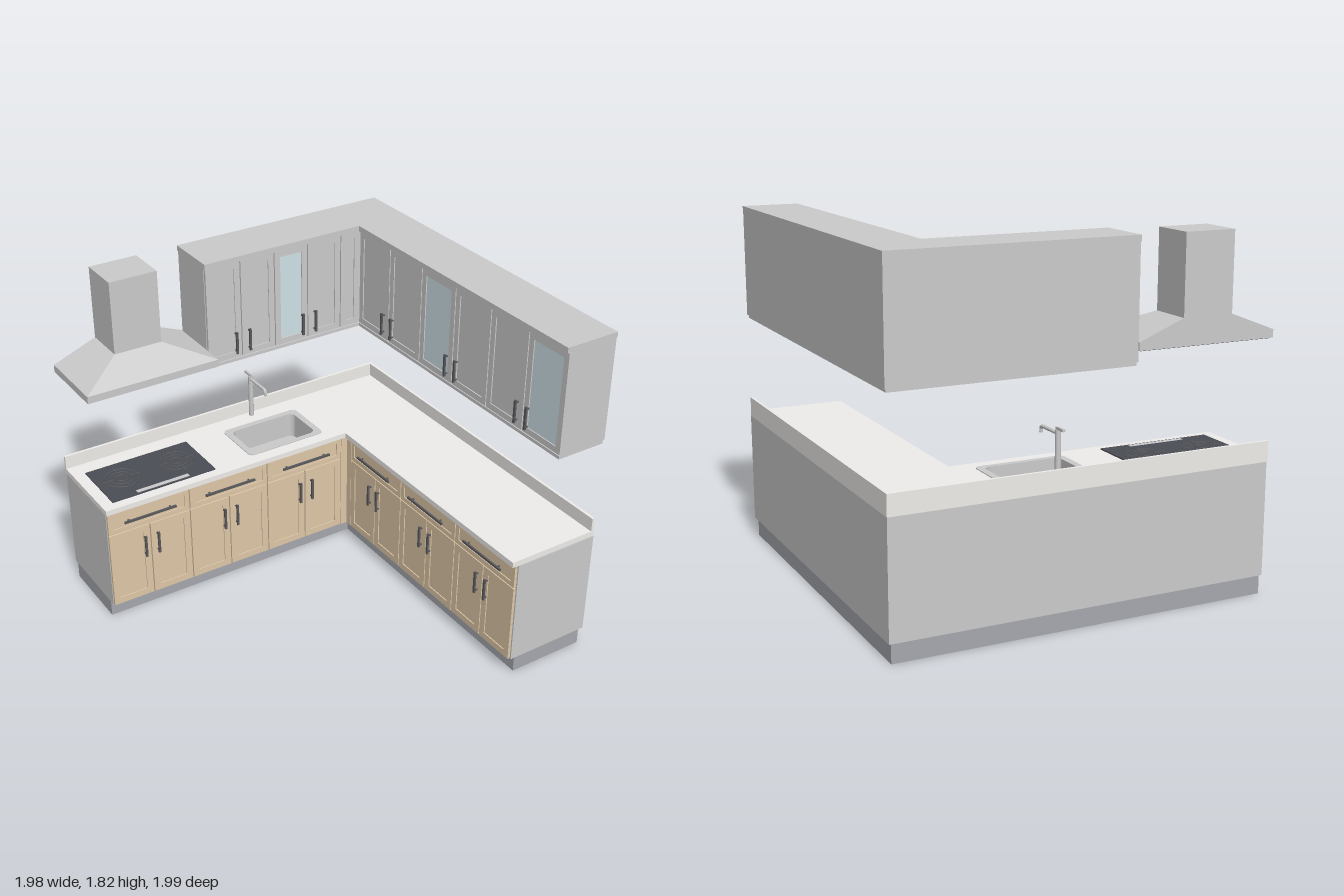
import * as THREE from 'three';

const mat = (color) => new THREE.MeshStandardMaterial({ color, side: THREE.DoubleSide });

export function createModel() {
  const root = new THREE.Group();
  root.name = 'cornerKitchen';
  const M = {
    grey: mat(0xcccccc), wood: mat(0xdfc8a8), stone: mat(0xf0eeeb), kick: mat(0xa6a8ae),
    dark: mat(0x5a5a5e), hob: mat(0x4c4e56), glass: mat(0xcfe2e8),
  };

  const add = (parent, name, geo, m) => {
    const mesh = new THREE.Mesh(geo, m);
    mesh.name = name;
    parent.add(mesh);
    return mesh;
  };
  // Box given by its min and max on each axis
  const box = (parent, name, m, x0, x1, y0, y1, z0, z1) => {
    const b = add(parent, name, new THREE.BoxGeometry(x1 - x0, y1 - y0, z1 - z0), m);
    b.position.set((x0 + x1) / 2, (y0 + y1) / 2, (z0 + z1) / 2);
    return b;
  };
  const group = (name) => {
    const g = new THREE.Group();
    g.name = name;
    root.add(g);
    return g;
  };
  // Rounded rectangle on the floor plan (shape y is -z)
  const rounded = (x0, x1, z0, z1, r, C = THREE.Shape) => {
    const s = new C(), a = -z1, b = -z0;
    s.absarc(x1 - r, a + r, r, -Math.PI / 2, 0);
    s.absarc(x1 - r, b - r, r, 0, Math.PI / 2);
    s.absarc(x0 + r, b - r, r, Math.PI / 2, Math.PI);
    s.absarc(x0 + r, a + r, r, Math.PI, Math.PI * 1.5);
    s.closePath();
    return s;
  };
  // Floor-plan shape raised from y0 to y1
  const slab = (parent, name, m, shape, y0, y1) => {
    const geo = new THREE.ExtrudeGeometry(shape, { depth: y1 - y0, bevelEnabled: false, curveSegments: 6 });
    geo.rotateX(-Math.PI / 2).translate(0, y0, 0);
    return add(parent, name, geo, m);
  };
  // L-shaped plan: back run plus side run
  const ell = (x0, x1, z0, z1, inX, inZ) => new THREE.Shape(
    [[x0, z0], [x0, inZ], [inX, inZ], [inX, z1], [x1, z1], [x1, z0]].map(([x, z]) => new THREE.Vector2(x, -z)));
  const sinkHole = () => rounded(-0.07, 0.34, -0.83, -0.575, 0.04, THREE.Path);

  // Base cabinets, plinth and worktop
  const base = group('baseCabinets');
  slab(base, 'plinth', M.kick, ell(-0.985, 0.97, -0.97, 0.98, 0.54, -0.55), 0, 0.1);
  const carcass = ell(-0.99, 0.985, -0.985, 0.995, 0.505, -0.505);
  carcass.holes.push(sinkHole());
  slab(base, 'baseCarcass', M.grey, carcass, 0.1, 0.68);
  const top = ell(-0.995, 0.985, -0.985, 0.99, 0.47, -0.48);
  top.holes.push(sinkHole());
  slab(base, 'worktop', M.stone, top, 0.68, 0.71);
  slab(base, 'backsplash', M.stone, ell(-0.995, 0.985, -0.985, 0.99, 0.97, -0.97), 0.71, 0.785);

  // Wall cabinets with cornice
  const wall = group('wallCabinets');
  slab(wall, 'wallCarcass', M.grey, ell(-0.25, 0.985, -0.985, 0.99, 0.715, -0.715), 1.24, 1.79);
  slab(wall, 'lightRail', M.grey, ell(-0.25, 0.975, -0.972, 0.99, 0.7, -0.7), 1.222, 1.24);
  slab(wall, 'cornice', M.grey, ell(-0.255, 0.985, -0.985, 0.995, 0.685, -0.69), 1.79, 1.82);

  // Bar handle on two posts, centred at (x, y) on the face plane z
  const handle = (parent, x, y, z, length, horizontal) => {
    const h = new THREE.Group();
    h.name = 'handle';
    const half = length / 2;
    box(h, 'handleBar', M.dark, -0.006, 0.006, -half, half, 0.014, 0.024);
    for (const s of [-1, 1]) {
      const p = s * half * 0.8;
      box(h, 'handlePost', M.dark, -0.004, 0.004, p - 0.004, p + 0.004, 0, 0.015);
    }
    h.position.set(x, y, z);
    if (horizontal) h.rotation.z = Math.PI / 2;
    parent.add(h);
  };
  // Framed front with a recessed panel
  const front = (parent, name, m, x0, x1, y0, y1, z, rim, panel = m) => {
    const g = 0.003, t = 0.015;
    const rect = (C, d) => {
      const s = new C();
      s.moveTo(x0 + d, y0 + d).lineTo(x1 - d, y0 + d).lineTo(x1 - d, y1 - d).lineTo(x0 + d, y1 - d).closePath();
      return s;
    };
    const shape = rect(THREE.Shape, g);
    shape.holes.push(rect(THREE.Path, rim));
    const frame = add(parent, name, new THREE.ExtrudeGeometry(shape, { depth: t, bevelEnabled: false }), m);
    frame.position.z = z - t;
    box(parent, name + 'Panel', panel, x0 + rim, x1 - rim, y0 + rim, y1 - rim, z - t + 0.001, z - 0.006);
  };

  // One base unit: a drawer above a pair of doors
  const baseUnit = (parent, x0, x1, z) => {
    const c = (x0 + x1) / 2;
    front(parent, 'drawer', M.wood, x0, x1, 0.545, 0.68, z, 0.03);
    handle(parent, c, 0.612, z, 0.3, true);
    for (const s of [-1, 1]) {
      front(parent, 'baseDoor', M.wood, Math.min(c, c + s * (x1 - x0) / 2), Math.max(c, c + s * (x1 - x0) / 2), 0.1, 0.545, z, 0.04);
      handle(parent, c + s * 0.038, 0.422, z, 0.128);
    }
  };
  // One wall door, its handle on the given side
  const wallDoor = (parent, x0, x1, z, side, glazed) => {
    front(parent, glazed ? 'glassDoor' : 'wallDoor', M.grey, x0, x1, 1.242, 1.788, z, 0.036, glazed ? M.glass : M.grey);
    if (side) handle(parent, side > 0 ? x1 - 0.04 : x0 + 0.04, 1.337, z, 0.125);
  };

  // Fronts of the back run
  const backRun = group('backRunFronts');
  for (const [a, b] of [[-0.99, -0.512], [-0.512, -0.033], [-0.033, 0.45]]) baseUnit(backRun, a, b, -0.49);
  box(backRun, 'cornerFiller', M.wood, 0.45, 0.505, 0.1, 0.68, -0.505, -0.49);
  wallDoor(backRun, -0.25, -0.045, -0.7, 1);
  wallDoor(backRun, -0.045, 0.16, -0.7, -1);
  wallDoor(backRun, 0.16, 0.365, -0.7, 1, true);
  wallDoor(backRun, 0.365, 0.575, -0.7, -1);
  wallDoor(backRun, 0.575, 0.7, -0.7, 0);

  // Fronts of the side run, turned to face -x (local x runs along z)
  const sideRun = group('sideRunFronts');
  sideRun.rotation.y = -Math.PI / 2;
  for (let i = 0; i < 3; i++) {
    const a = -0.45 + i * 0.48, w = -0.7 + i * 0.565;
    baseUnit(sideRun, a, a + 0.48, -0.49);
    wallDoor(sideRun, w, w + 0.2825, -0.7, 1, i === 1);
    wallDoor(sideRun, w + 0.2825, w + 0.565, -0.7, -1, i === 2);
  }
  box(sideRun, 'cornerFiller', M.wood, -0.505, -0.45, 0.1, 0.68, -0.505, -0.49);

  // Sink: rim, basin walls and floor
  const sink = group('sink');
  const rim = rounded(-0.1, 0.37, -0.86, -0.55, 0.03);
  rim.holes.push(rounded(-0.065, 0.335, -0.825, -0.58, 0.036, THREE.Path));
  slab(sink, 'sinkRim', M.grey, rim, 0.709, 0.714);
  const basin = rounded(-0.07, 0.34, -0.83, -0.575, 0.04);
  basin.holes.push(rounded(-0.065, 0.335, -0.825, -0.58, 0.036, THREE.Path));
  slab(sink, 'basinWall', M.grey, basin, 0.57, 0.711);
  slab(sink, 'basinFloor', M.grey, rounded(-0.07, 0.34, -0.83, -0.575, 0.04), 0.565, 0.572);
  const drain = add(sink, 'drain', new THREE.CylinderGeometry(0.025, 0.025, 0.004, 20), M.dark);
  drain.position.set(0.135, 0.574, -0.7);

  // Tap: column, spout turned down at its end, and lever
  const tap = group('tap');
  const column = add(tap, 'tapColumn', new THREE.CylinderGeometry(0.014, 0.014, 0.25, 16), M.grey);
  column.position.set(0.135, 0.835, -0.94);
  const spoutPath = new THREE.CurvePath();
  const v = (y, z) => new THREE.Vector3(0.135, y, z);
  spoutPath.add(new THREE.LineCurve3(v(0.942, -0.94), v(0.942, -0.8)));
  spoutPath.add(new THREE.QuadraticBezierCurve3(v(0.942, -0.8), v(0.942, -0.778), v(0.925, -0.778)));
  spoutPath.add(new THREE.LineCurve3(v(0.925, -0.778), v(0.91, -0.778)));
  add(tap, 'tapSpout', new THREE.TubeGeometry(spoutPath, 24, 0.009, 10), M.grey);
  box(tap, 'tapLever', M.grey, 0.128, 0.142, 0.96, 0.972, -0.995, -0.93);

  // Cooktop with two burners and a control strip
  const hob = group('cooktop');
  box(hob, 'cooktopPlate', M.hob, -0.93, -0.325, 0.709, 0.716, -0.87, -0.535);
  box(hob, 'controlStrip', M.grey, -0.78, -0.475, 0.715, 0.7175, -0.57, -0.545);
  for (const x of [-0.79, -0.465]) {
    for (const r of [0.03, 0.06, 0.09]) {
      const ring = add(hob, 'burnerRing', new THREE.TorusGeometry(r, 0.003, 6, 32), M.dark);
      ring.rotation.x = Math.PI / 2;
      ring.position.set(x, 0.717, -0.72);
    }
    for (let i = 0; i < 4; i++) {
      const bar = add(hob, 'panSupport', new THREE.BoxGeometry(0.06, 0.004, 0.006), M.dark);
      bar.position.set(x + 0.08 * Math.cos(i * Math.PI / 2), 0.718, -0.72 + 0.08 * Math.sin(i * Math.PI / 2));
      bar.rotation.y = i * Math.PI / 2;
    }
  }

  // Extractor hood: skirt, tapered canopy and chimney, flush at the back
  const hood = group('extractorHood');
  box(hood, 'hoodSkirt', M.grey, -0.995, -0.255, 1.292, 1.332, -0.985, -0.58);
  box(hood, 'hoodFilter', M.dark, -0.985, -0.265, 1.288, 1.293, -0.975, -0.59);
  const canopy = new THREE.BoxGeometry(1, 1, 1).toNonIndexed();
  const p = canopy.attributes.position;
  for (let i = 0; i < p.count; i++) {
    const up = p.getY(i) > 0;
    const x = p.getX(i) > 0 ? (up ? -0.49 : -0.255) : (up ? -0.755 : -0.995);
    const z = p.getZ(i) > 0 ? (up ? -0.755 : -0.58) : -0.985;
    p.setXYZ(i, x, up ? 1.425 : 1.332, z);
  }
  canopy.computeVertexNormals();
  add(hood, 'hoodCanopy', canopy, M.grey);
  box(hood, 'hoodChimney', M.grey, -0.755, -0.49, 1.425, 1.82, -0.985, -0.755);

  return root;
}
